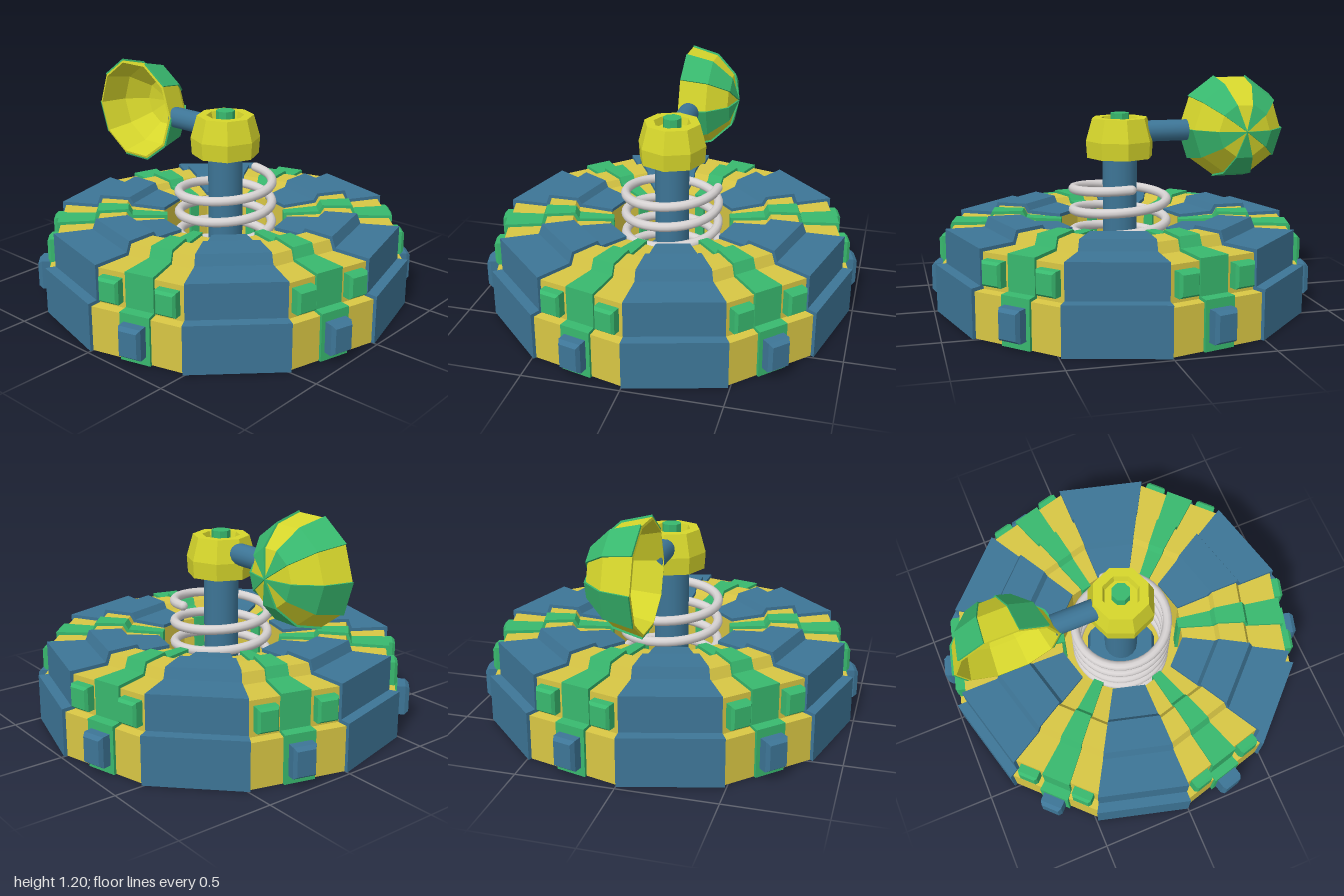
import * as THREE from 'three';

const mat = (name, color) => {
  const m = new THREE.MeshStandardMaterial({ color });
  m.name = name;
  return m;
};
const DEG = Math.PI / 180;

// Moves an open profile of [radius, height] points sideways by d
function offset(pts, d) {
  const normal = i => {
    const [a, b] = [pts[i], pts[i + 1]];
    return new THREE.Vector2(b[1] - a[1], a[0] - b[0]).normalize();
  };
  return pts.map(([x, y], i) => {
    const n0 = normal(Math.max(i - 1, 0));
    const n1 = normal(Math.min(i, pts.length - 2));
    const m = n0.clone().add(n1).normalize();
    const k = d / m.dot(n1);
    return [x === 0 ? 0 : x + m.x * k, y + m.y * k];
  });
}

// Closed outline lying between two offsets of a profile
const layer = (pts, outer, inner) => [...offset(pts, outer), ...offset(pts, inner).reverse()];

// Faceted normals
function facet(geo) {
  const g = geo.index ? geo.toNonIndexed() : geo;
  g.computeVertexNormals();
  return g;
}

// Solid pie slice: the outline is widened in proportion to its radius
function wedge(outline, halfAngle) {
  const shape = new THREE.Shape(outline.map(p => new THREE.Vector2(p[0], p[1])));
  const geo = new THREE.ExtrudeGeometry(shape, { depth: 2, bevelEnabled: false });
  const pos = geo.attributes.position;
  const t = Math.tan(halfAngle * DEG);
  for (let i = 0; i < pos.count; i++) pos.setZ(i, (pos.getZ(i) - 1) * pos.getX(i) * t);
  return facet(geo);
}

// Block pointing along +x with a chamfered outer face
function stud(depth, height, width) {
  const geo = new THREE.BoxGeometry(depth, height, width, 2, 1, 1);
  const pos = geo.attributes.position;
  for (let i = 0; i < pos.count; i++) {
    const x = pos.getX(i);
    if (Math.abs(x) < 1e-4) pos.setX(i, depth * 0.25);
    else if (x > 0) {
      pos.setY(i, pos.getY(i) * 0.8);
      pos.setZ(i, pos.getZ(i) * 0.8);
    }
  }
  return facet(geo);
}

export function createModel() {
  const model = new THREE.Group();
  model.name = 'domedTurret';
  const yellow = mat('shell yellow', 0xd8c644);
  const lime = mat('bright yellow', 0xd6d62c);
  const blue = mat('steel blue', 0x3d7596);
  const green = mat('green', 0x38b86e);
  const grey = mat('light grey', 0xd6d2d2);

  const add = (parent, name, geo, material, x = 0, y = 0, z = 0) => {
    const mesh = new THREE.Mesh(geo, material);
    mesh.name = name;
    mesh.position.set(x, y, z);
    parent.add(mesh);
    return mesh;
  };

  // Base: twelve-sided stepped shell with a sunken well in the middle
  const profile = [
    [0.932, 0], [0.932, 0.235], [0.88, 0.238], [0.88, 0.42], [0.69, 0.42], [0.67, 0.475],
    [0.53, 0.475], [0.51, 0.44], [0.33, 0.43], [0.33, 0.1], [0, 0.1],
  ];
  const shellGeo = wedge(layer(profile, 0, -0.012), 15);
  const panelGeo = wedge(layer(profile.slice(0, 9), 0.018, 0), 15);
  const stripGeo = wedge(layer(profile.slice(0, 10), 0.016, -0.018), 4.9);
  const knobGeo = stud(0.085, 0.16, 0.12);
  const boxGeo = stud(0.06, 0.125, 0.11);

  for (let i = 0; i < 12; i++) {
    const sector = new THREE.Group();
    sector.name = 'baseSector';
    sector.rotation.y = -(15 + 30 * i) * DEG;
    model.add(sector);
    add(sector, 'shell', shellGeo, yellow);
    if (i % 2 === 0) {
      add(sector, 'armourPanel', panelGeo, blue);
    } else {
      add(sector, 'strip', stripGeo, green);
      add(sector, 'knob', knobGeo, blue, 0.9725, 0.125, 0);
      for (const s of [-1, 1]) add(sector, 'sideStud', boxGeo, green, 0.907, 0.33, s * 0.155);
    }
  }

  // Coil spring standing in the well
  const turns = 4.5, coil = [];
  for (let i = 0; i <= turns * 24; i++) {
    const back = turns - i / 24;
    const a = Math.PI / 2 - back * 2 * Math.PI;
    coil.push(new THREE.Vector3(Math.sin(a) * 0.25, 0.643 - back * 0.115, Math.cos(a) * 0.25));
  }
  const curve = new THREE.CatmullRomCurve3(coil);
  add(model, 'spring', new THREE.TubeGeometry(curve, 180, 0.025, 10), grey);
  for (const p of [coil[0], coil[coil.length - 1]]) {
    add(model, 'springEnd', new THREE.SphereGeometry(0.025, 10, 6), grey, p.x, p.y, p.z);
  }

  // Column with its wide foot
  add(model, 'column', new THREE.CylinderGeometry(0.092, 0.092, 0.7, 16), blue, 0, 0.45, 0);
  add(model, 'columnFoot', facet(new THREE.CylinderGeometry(0.19, 0.21, 0.12, 8)), blue, 0, 0.16, 0);

  // Head: eight-sided cap with a recess and a peg
  const headPts = [
    [0, 0.78], [0.178, 0.78], [0.184, 0.87], [0.15, 0.99], [0.1, 0.99], [0.09, 0.95], [0, 0.95],
  ].map(p => new THREE.Vector2(p[0], p[1]));
  add(model, 'head', facet(new THREE.LatheGeometry(headPts, 8)), lime);
  add(model, 'headPeg', facet(new THREE.CylinderGeometry(0.05, 0.05, 0.08, 8)), green, 0, 0.975, 0);

  // Arm reaching back to the dish
  const arm = add(model, 'arm', new THREE.CylinderGeometry(0.057, 0.057, 0.27, 16), blue, 0, 0.912, -0.235);
  arm.rotation.x = Math.PI / 2;

  // Ten-sided hollow dish with alternating raised panels
  const dish = new THREE.Group();
  dish.name = 'dish';
  dish.position.set(0, 0.92, -0.63);
  dish.rotation.z = -Math.PI / 2;
  model.add(dish);
  const bowl = [[0.268, -0.058], [0.232, 0.09], [0.135, 0.195], [0, 0.228]];
  const bowlGeo = wedge(layer(bowl, 0, -0.012), 18);
  const bowlPanelGeo = wedge(layer(bowl, 0.01, 0), 18);
  for (let k = 0; k < 10; k++) {
    add(dish, 'dishShell', bowlGeo, lime).rotation.y = -36 * k * DEG;
    if (k % 2 === 0) add(dish, 'dishPanel', bowlPanelGeo, green).rotation.y = -36 * k * DEG;
  }
  return model;
}
